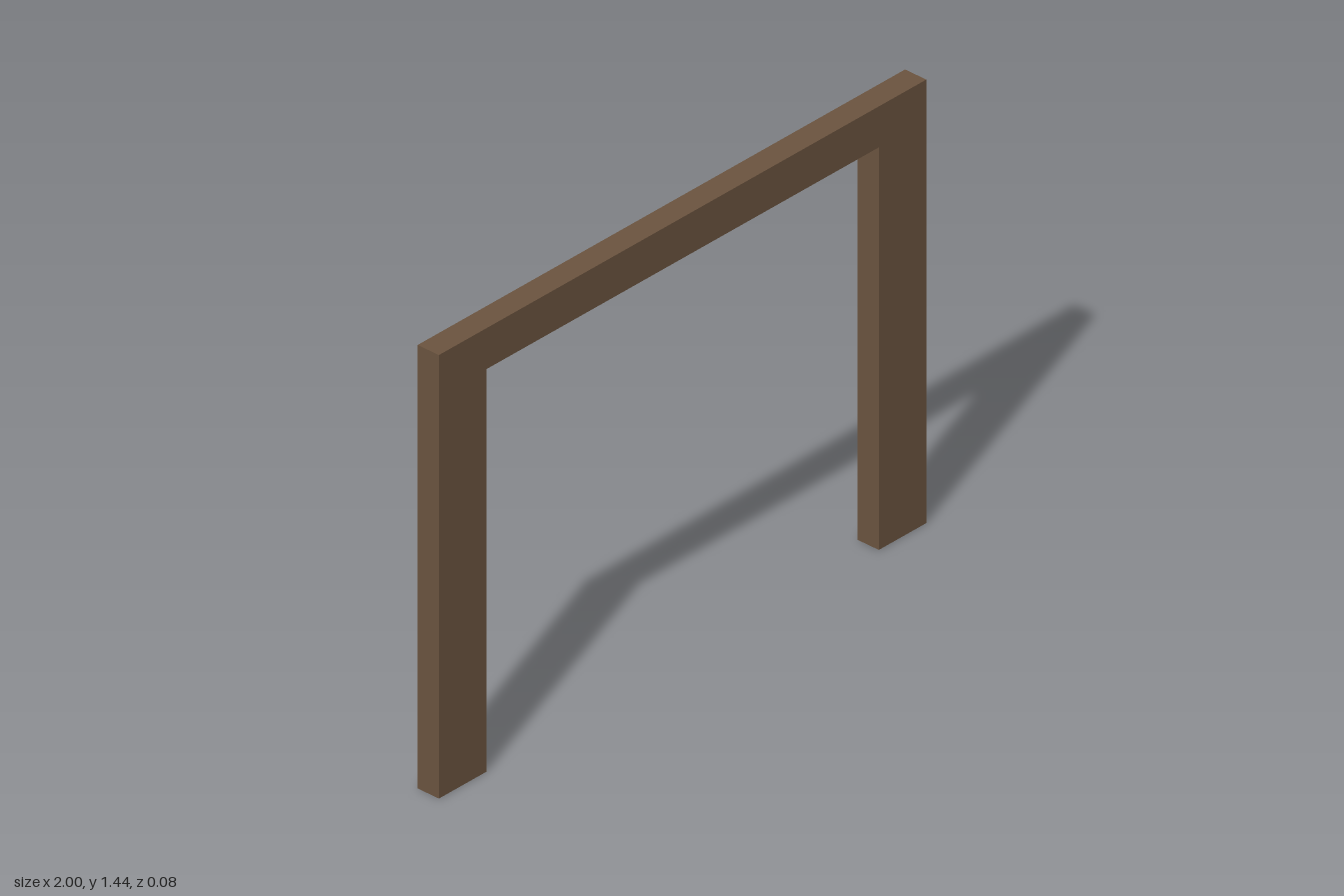
import * as THREE from 'three';

const HALF_WIDTH = 1, HEIGHT = 1.44, DEPTH = 0.08;
const INNER_X = 0.805, INNER_Y = 1.307; // clear opening

export function createModel() {
  const group = new THREE.Group();
  group.name = 'doorFrame';

  // One-piece frame: two jambs joined by a lintel, open at the bottom
  const outline = new THREE.Shape([
    [-HALF_WIDTH, 0], [-INNER_X, 0], [-INNER_X, INNER_Y], [INNER_X, INNER_Y],
    [INNER_X, 0], [HALF_WIDTH, 0], [HALF_WIDTH, HEIGHT], [-HALF_WIDTH, HEIGHT],
  ].map(([x, y]) => new THREE.Vector2(x, y)));

  const geometry = new THREE.ExtrudeGeometry(outline, { depth: DEPTH, bevelEnabled: false });
  geometry.translate(0, 0, -DEPTH / 2);

  const frame = new THREE.Mesh(geometry, new THREE.MeshStandardMaterial({ color: 0x6b543f }));
  frame.name = 'jambsAndLintel';
  group.add(frame);
  return group;
}
